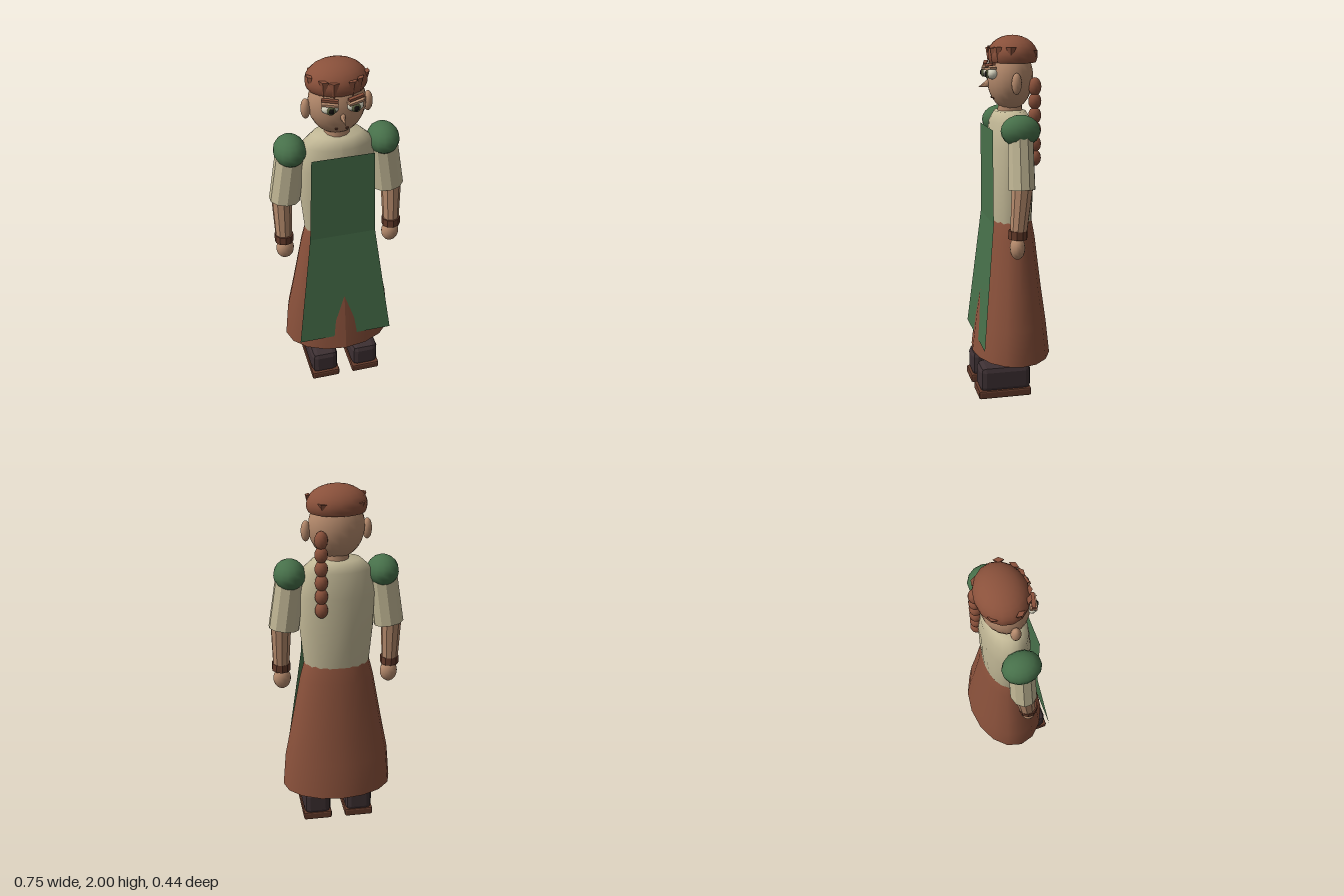
import * as THREE from 'three';
import { RoundedBoxGeometry } from 'three/addons/geometries/RoundedBoxGeometry.js';

const mat = (name, color, extra = {}) => {
  const m = new THREE.MeshStandardMaterial({ color, ...extra });
  m.name = name;
  return m;
};

export function createModel() {
  const model = new THREE.Group();
  const two = { side: THREE.DoubleSide };
  const skin = mat('skin', 0xb58a6c);
  const linen = mat('linen', 0xc2b896);
  const green = mat('green cloth', 0x47704a, two);
  const brown = mat('russet cloth and hair', 0x8a513b, two);
  const darkBrown = mat('dark leather', 0x633a2a);
  const boot = mat('boot leather', 0x3d3033);
  const white = mat('eye white', 0xd6d3bf);
  const iris = mat('iris', 0x5a6040);
  const black = mat('pupil', 0x14100f);

  const add = (name, geo, material, x = 0, y = 0, z = 0) => {
    const mesh = new THREE.Mesh(geo, material);
    mesh.name = name;
    mesh.position.set(x, y, z);
    model.add(mesh);
    return mesh;
  };
  const ball = (name, m, x, y, z, rx, ry, rz, w = 14, h = 10) =>
    add(name, new THREE.SphereGeometry(1, w, h).scale(rx, ry, rz), m, x, y, z);
  const flat = (geo) => {
    const g = geo.index ? geo.toNonIndexed() : geo;
    g.computeVertexNormals();
    return g;
  };
  // Elliptical body through rings [y, rx, rz], listed from the top down
  const loft = (rings, sides) => {
    const geo = new THREE.CylinderGeometry(1, 1, 1, sides, rings.length - 1, true);
    const p = geo.attributes.position;
    for (let i = 0; i < p.count; i++) {
      const [y, rx, rz] = rings[Math.floor(i / (sides + 1))];
      p.setXYZ(i, p.getX(i) * rx, y, p.getZ(i) * rz);
    }
    geo.computeVertexNormals();
    return geo;
  };
  // Faceted tapered limb from a to b
  const limb = (name, m, a, b, ra, rb, sides, depth = 1) => {
    const A = new THREE.Vector3(...a), B = new THREE.Vector3(...b);
    const geo = new THREE.CylinderGeometry(ra, rb, A.distanceTo(B), sides).scale(1, 1, depth);
    const mesh = add(name, flat(geo), m);
    mesh.position.copy(A).add(B).multiplyScalar(0.5);
    mesh.quaternion.setFromUnitVectors(new THREE.Vector3(0, 1, 0), A.sub(B).normalize());
    return mesh;
  };

  // Clothing
  add('skirt', loft([[1.02, 0.17, 0.108], [1.0, 0.185, 0.115], [0.9, 0.21, 0.133],
    [0.6, 0.265, 0.17], [0.42, 0.3, 0.196], [0.22, 0.316, 0.22]], 16), brown);
  add('blouse', loft([[1.605, 0.001, 0.001], [1.595, 0.13, 0.085], [1.54, 0.19, 0.112], [1.4, 0.213, 0.125],
    [1.2, 0.205, 0.124], [1.0, 0.185, 0.117], [0.93, 0.17, 0.1]], 20), linen);
  const apron = new THREE.PlaneGeometry(2, 1, 1, 2);
  const rows = [[1.51, 0.17, 0.13], [1.0, 0.185, 0.13], [0.31, 0.272, 0.2]];
  for (let i = 0; i < 6; i++) {
    const [y, w, z] = rows[Math.floor(i / 2)];
    apron.attributes.position.setXYZ(i, i % 2 ? w : -w, y, z);
  }
  add('apron', flat(apron), green);

  // Head and hair
  add('neck', new THREE.CylinderGeometry(0.065, 0.07, 0.12, 12), skin, 0, 1.61, 0);
  ball('head', skin, 0, 1.775, 0, 0.152, 0.177, 0.125, 20, 14);
  add('hairCap', new THREE.SphereGeometry(1, 16, 9, 0, Math.PI * 2, 0, Math.PI * 0.62)
    .scale(0.163, 0.105, 0.135), brown, 0, 1.895, -0.014);
  // Pointed fringe: [angle from the front, top height, length]
  for (const [a, y, len] of [[-1.25, 1.945, 0.06], [-0.62, 1.94, 0.085], [-0.28, 1.935, 0.095],
    [0.36, 1.935, 0.09], [0.68, 1.94, 0.08], [1.25, 1.94, 0.06], [2.5, 1.92, 0.04], [-2.3, 1.92, 0.04]]) {
    const lock = add('fringeLock', flat(new THREE.ConeGeometry(0.028, len, 4).rotateX(Math.PI).scale(1, 1, 0.5)),
      brown, Math.sin(a) * 0.157, y - len / 2, Math.cos(a) * 0.13 - 0.014);
    lock.rotation.y = a;
  }
  for (let i = 0; i < 6; i++)
    ball('braidBead', brown, 0.1, 1.73 - i * 0.077, -0.115, 0.036, i ? 0.045 : 0.05, 0.036, 12, 8);

  // Nose and mouth
  const nose = add('nose', new THREE.ConeGeometry(0.026, 0.075, 6), skin, 0, 1.737, 0.14);
  nose.rotation.x = Math.PI / 2 + 0.35;
  nose.scale.x = 0.7;

  for (const s of [-1, 1]) {
    // Face
    ball('ear', skin, s * 0.165, 1.752, 0, 0.026, 0.057, 0.027);
    ball('eye', white, s * 0.065, 1.8, 0.112, 0.045, 0.03, 0.032);
    ball('iris', iris, s * 0.065, 1.798, 0.137, 0.024, 0.024, 0.01);
    ball('pupil', black, s * 0.065, 1.798, 0.142, 0.014, 0.016, 0.01);
    const lid = add('eyelid', new THREE.BoxGeometry(0.085, 0.012, 0.035), skin, s * 0.067, 1.827, 0.122);
    const brow = add('eyebrow', new THREE.BoxGeometry(0.085, 0.014, 0.02), brown, s * 0.068, 1.848, 0.122);
    lid.rotation.set(0, s * 0.25, s * 0.1);
    brow.rotation.set(0, s * 0.25, s * 0.12);
    add('mouthCorner', new THREE.BoxGeometry(0.014, 0.008, 0.008), darkBrown, s * 0.027, 1.667, 0.097);

    // Arms
    limb('sleeve', linen, [s * 0.25, 1.52, 0], [s * 0.293, 1.21, 0], 0.08, 0.085, 10, 0.85);
    limb('forearm', skin, [s * 0.308, 1.24, 0], [s * 0.31, 0.96, 0.024], 0.058, 0.045, 10);
    limb('cuff', darkBrown, [s * 0.309, 0.995, 0.025], [s * 0.31, 0.95, 0.027], 0.052, 0.052, 10);
    ball('hand', skin, s * 0.306, 0.898, 0.027, 0.05, 0.063, 0.041);
    ball('shoulderCap', green, s * 0.255, 1.515, 0, 0.087, 0.085, 0.105, 14, 10);

    // Legs and boots
    add('legging', flat(new THREE.CylinderGeometry(0.072, 0.072, 0.4, 12)), brown, s * 0.122, 0.37, 0);
    add('boot', flat(new RoundedBoxGeometry(0.156, 0.155, 0.29, 1, 0.033)), boot, s * 0.123, 0.107, 0.065);
    add('sole', flat(new RoundedBoxGeometry(0.166, 0.048, 0.3, 1, 0.01)), darkBrown, s * 0.123, 0.024, 0.07);
  }
  return model;
}
